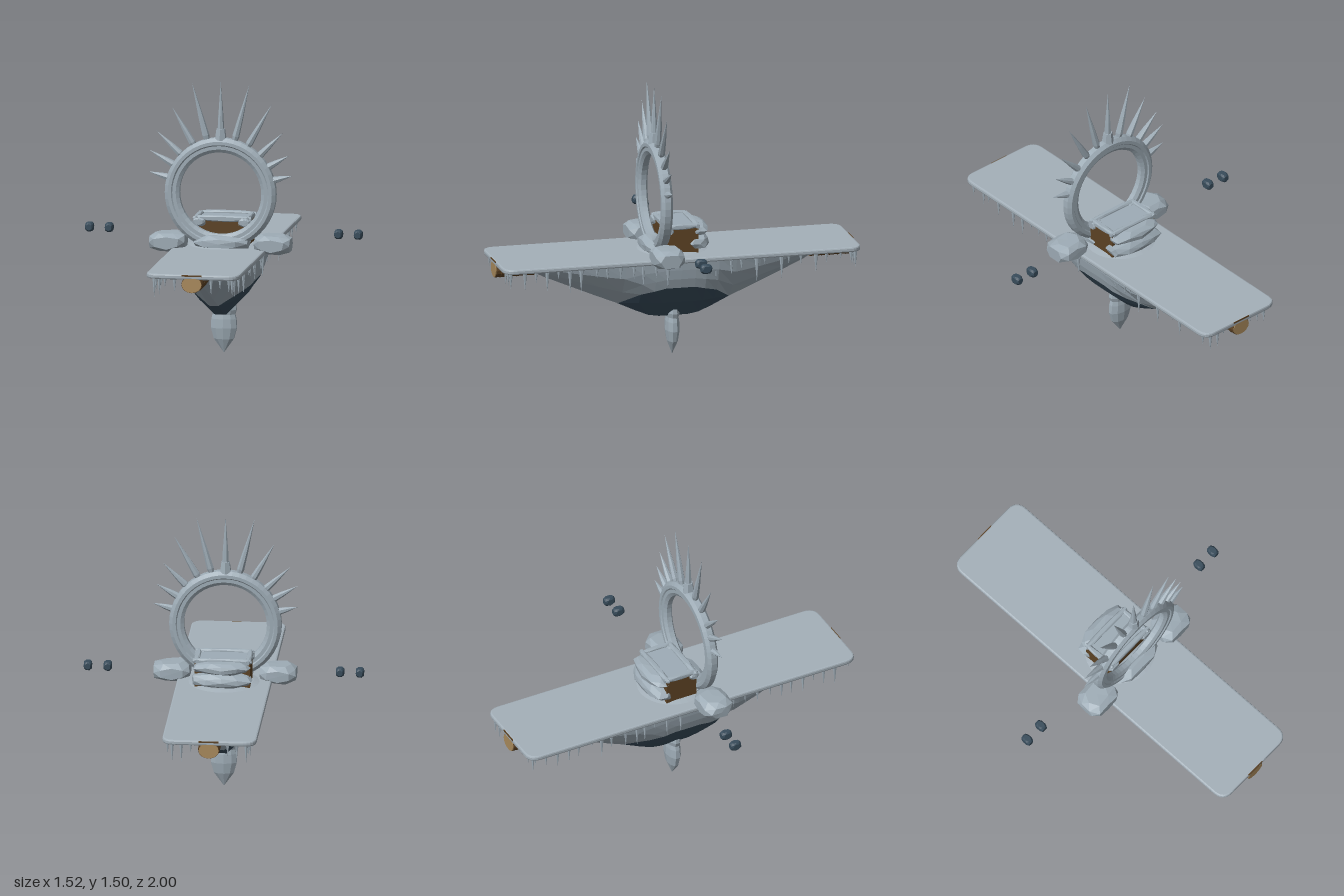
import * as THREE from 'three';
import { mergeGeometries } from 'three/addons/utils/BufferGeometryUtils.js';

const mat = (name, color) => {
  const m = new THREE.MeshStandardMaterial({ color, flatShading: true });
  m.name = name;
  return m;
};

export function createModel() {
  const root = new THREE.Group();
  root.name = 'icyFlyingBarge';
  const ice = mat('pale ice', 0x9eacb6);
  const snow = mat('packed snow', 0xa4b0b9);
  const dark = mat('dark slate', 0x384c5b);
  const wood = mat('brown wood', 0x5c4224);
  const cut = mat('cut timber', 0xa98a5c);

  const add = (name, geo, material, x = 0, y = 0, z = 0) => {
    const m = new THREE.Mesh(geo, material);
    m.name = name;
    m.position.set(x, y, z);
    root.add(m);
    return m;
  };
  let seed = 7;
  const rand = () => (seed = (seed * 16807) % 2147483647) / 2147483647;

  // Chunky faceted stone filling a box of the given size; fuller stones are boxier
  const rock = (w, h, d, rough = 0.16, full = 1.25) => {
    const g = new THREE.IcosahedronGeometry(1, 1), p = g.attributes.position;
    for (let i = 0; i < p.count; i++) {
      const v = new THREE.Vector3().fromBufferAttribute(p, i);
      const n = Math.sin(v.x * 12.9 + v.y * 37.1 + v.z * 21.7 + w * 50) * rough;
      v.multiplyScalar(full + n).clampScalar(-1, 1);
      p.setXYZ(i, v.x * w / 2, v.y * h / 2, v.z * d / 2);
    }
    g.computeVertexNormals();
    return g;
  };

  // Deck: rounded slab with a softened rim
  const W = 0.247, L = 0.99, R = 0.06;
  const s = new THREE.Shape();
  s.moveTo(-W + R, -L);
  s.lineTo(W - R, -L).quadraticCurveTo(W, -L, W, -L + R);
  s.lineTo(W, L - R).quadraticCurveTo(W, L, W - R, L);
  s.lineTo(-W + R, L).quadraticCurveTo(-W, L, -W, L - R);
  s.lineTo(-W, -L + R).quadraticCurveTo(-W, -L, -W + R, -L);
  const deck = new THREE.ExtrudeGeometry(s, {
    depth: 0.012, bevelSize: 0.009, bevelThickness: 0.008, bevelSegments: 2, curveSegments: 6 });
  deck.rotateX(-Math.PI / 2);
  add('deck', deck, snow, 0, 0.58, 0);

  // Hull: cross-sections along z as [z, half width, bottom y, top of dark patch]
  const half = [[0, 0.222, 0.226, 0.42], [0.08, 0.221, 0.226, 0.42], [0.14, 0.22, 0.236, 0.405],
    [0.21, 0.216, 0.265, 0.385], [0.31, 0.208, 0.312, 0.312], [0.45, 0.19, 0.37, 0], [0.6, 0.16, 0.434, 0],
    [0.73, 0.115, 0.49, 0], [0.82, 0.06, 0.54, 0], [0.87, 0.02, 0.572, 0]];
  const stations = [...half.slice(1).reverse().map(([z, ...r]) => [-z, ...r]), ...half];
  const TOP = 0.58;
  const widthAt = (t) => {
    const k = [[0, 0.12], [0.2, 0.46], [0.5, 0.81], [0.75, 0.95], [1, 1]];
    let i = 0;
    while (i < 3 && t > k[i + 1][0]) i++;
    return THREE.MathUtils.mapLinear(t, k[i][0], k[i + 1][0], k[i][1], k[i + 1][1]);
  };
  const verts = [], lightIdx = [], darkIdx = [];
  stations.forEach(([z, w, yb, yd]) => {
    const td = Math.max(0, (yd - yb) / (TOP - yb));
    const ts = [1, td + (1 - td) * 0.66, td + (1 - td) * 0.33, td, td * 0.5, 0];
    const side = ts.map((t) => [w * widthAt(t), yb + t * (TOP - yb), z]);
    verts.push(...side, ...side.slice().reverse().map(([x, y, q]) => [-x, y, q]));
  });
  for (let i = 0; i < stations.length - 1; i++) {
    const mid = Math.abs(stations[i][0] + stations[i + 1][0]) / 2;
    for (let j = 0; j < 11; j++) {
      const a = i * 12 + j, b = a + 12;
      (mid < 0.3 && j > 2 && j < 8 ? darkIdx : lightIdx).push(a, b, a + 1, a + 1, b, b + 1);
    }
  }
  const hull = (idx) => {
    const g = new THREE.BufferGeometry();
    g.setAttribute('position', new THREE.Float32BufferAttribute(verts.flat(), 3));
    g.setIndex(idx);
    g.computeVertexNormals();
    return g;
  };
  add('hull', hull(lightIdx), ice);
  add('hullDarkBelly', hull(darkIdx), dark);

  // Keel crystal under the hull
  const keel = new THREE.LatheGeometry([[0, 0.003], [0.02, 0.03], [0.057, 0.08], [0.074, 0.14], [0.071, 0.19],
    [0.064, 0.215], [0.073, 0.24], [0.068, 0.275], [0, 0.3]].map(([x, y]) => new THREE.Vector2(x, y)), 10);
  keel.scale(1, 1, 0.52);
  add('keelCrystal', keel, ice);

  // Slightly flattened logs tucked below both deck ends, with banded bark and pale cut faces
  for (const e of [-1, 1]) {
    const logPart = (name, geo, material, z) => {
      add(name, geo, material, 0, 0.546, e * z).scale.y = 0.82;
    };
    logPart('log', new THREE.CylinderGeometry(0.057, 0.057, 0.23, 16).rotateX(Math.PI / 2), wood, 0.879);
    for (let i = 0; i < 4; i++) logPart('logBand', new THREE.TorusGeometry(0.056, 0.004, 5, 16), wood, 0.83 + i * 0.045);
    logPart('logCutFace', new THREE.CylinderGeometry(0.054, 0.054, 0.006, 16).rotateX(Math.PI / 2), cut, 0.995);
    add('deckEndTimber', new THREE.BoxGeometry(0.11, 0.008, 0.007), wood, 0, 0.594, e * 0.9965);
  }

  // Icicles along the deck rim
  const icicles = [];
  const icicle = (x, z, longest) => {
    const h = 0.045 + rand() * longest, r = 0.008 + h * 0.04;
    const g = new THREE.ConeGeometry(r, h, 6);
    g.rotateX(Math.PI);
    g.translate(x, 0.577 - h / 2, z);
    icicles.push(g);
  };
  for (const e of [-1, 1]) {
    for (let i = 0; i < 29; i++) icicle(e * (0.2 + rand() * 0.03), -0.95 + i * 0.068 + (rand() - 0.5) * 0.03, 0.1);
    for (let i = 0; i < 9; i++) {
      const x = -0.2 + i * 0.05;
      if (Math.abs(x) > 0.07) icicle(x, e * (0.95 + rand() * 0.025), 0.07);
    }
  }
  add('icicles', mergeGeometries(icicles), ice);

  // Ring standing across the deck, with a ridged profile
  const RY = 0.895, RZ = 0.1;
  const profile = [[0.225, -0.014], [0.243, -0.026], [0.262, -0.026], [0.268, -0.032], [0.286, -0.032],
    [0.305, -0.016], [0.305, 0.016], [0.286, 0.032], [0.268, 0.032], [0.262, 0.026], [0.243, 0.026],
    [0.225, 0.014], [0.225, -0.014]];
  const ring = new THREE.LatheGeometry(profile.map(([x, y]) => new THREE.Vector2(x, y)), 48);
  ring.rotateX(Math.PI / 2);
  add('ring', ring, ice, 0, RY, RZ);

  // Ray spikes: tip positions, with bases seated in the ring
  const tips = [[0, 1.507], [-0.158, 1.497], [0.158, 1.497], [-0.267, 1.36], [0.281, 1.39], [-0.353, 1.228],
    [0.341, 1.235], [-0.394, 1.122], [0.376, 1.112], [-0.395, 1.002], [0.395, 1.002]];
  for (const [x, y] of tips) {
    const dir = new THREE.Vector3(x, y - RY, 0), len = dir.length() - 0.285;
    dir.normalize();
    const g = new THREE.LatheGeometry([[0.013, 0], [0.02, len * 0.12], [0.015, len * 0.42], [0, len]]
      .map(([r, h]) => new THREE.Vector2(r, h)), 7);
    const m = add('raySpike', g, ice, dir.x * 0.285, RY + dir.y * 0.285, RZ);
    m.quaternion.setFromUnitVectors(new THREE.Vector3(0, 1, 0), dir);
  }
  add('ringCrownStone', new THREE.CylinderGeometry(0.025, 0.034, 0.062, 6), ice, 0, 1.218, RZ);

  // Boulders at the ring's foot, overhanging the deck
  for (const e of [-1, 1]) {
    const b = add('boulder', rock(0.196, 0.1, 0.165, 0.14, 1.3), ice, e * 0.288, 0.625, RZ);
    b.rotation.z = e * -0.03;
  }

  // Snow mound and rounded stones around the cabin's foot
  add('snowMound', new THREE.CylinderGeometry(0.16, 0.2, 0.01, 28), snow, 0, 0.603, 0);
  add('footStones', rock(0.31, 0.085, 0.17, 0.12, 1.12), ice, 0, 0.625, 0.087);

  // Cabin: timber box, rounded stones stacked at the back, framed roof
  add('cabinWalls', new THREE.BoxGeometry(0.3, 0.14, 0.18), wood, 0, 0.67, -0.02);
  add('backStoneLower', rock(0.33, 0.085, 0.15, 0.08, 1.1), ice, 0, 0.65, -0.115);
  add('backStoneUpper', rock(0.31, 0.07, 0.14, 0.08, 1.1), ice, 0, 0.718, -0.115);
  add('roof', new THREE.BoxGeometry(0.29, 0.016, 0.19), ice, 0, 0.744, -0.025);
  for (const z of [-0.105, 0.06]) add('roofBeam', rock(0.32, 0.034, 0.032, 0.1), ice, 0, 0.749, z);
  for (const e of [-1, 1]) {
    add('roofSideBeam', rock(0.03, 0.03, 0.2, 0.1), ice, e * 0.14, 0.749, -0.02);
    add('cornerStone', rock(0.07, 0.05, 0.06), ice, e * 0.125, 0.73, 0.055);
  }

  // Floating slate stones off both sides
  for (const e of [-1, 1])
    for (const x of [0.63, 0.738]) add('floatingStone', rock(0.043, 0.048, 0.06, 0.05, 1.35), dark, e * x, 0.672, 0);

  return root;
}
